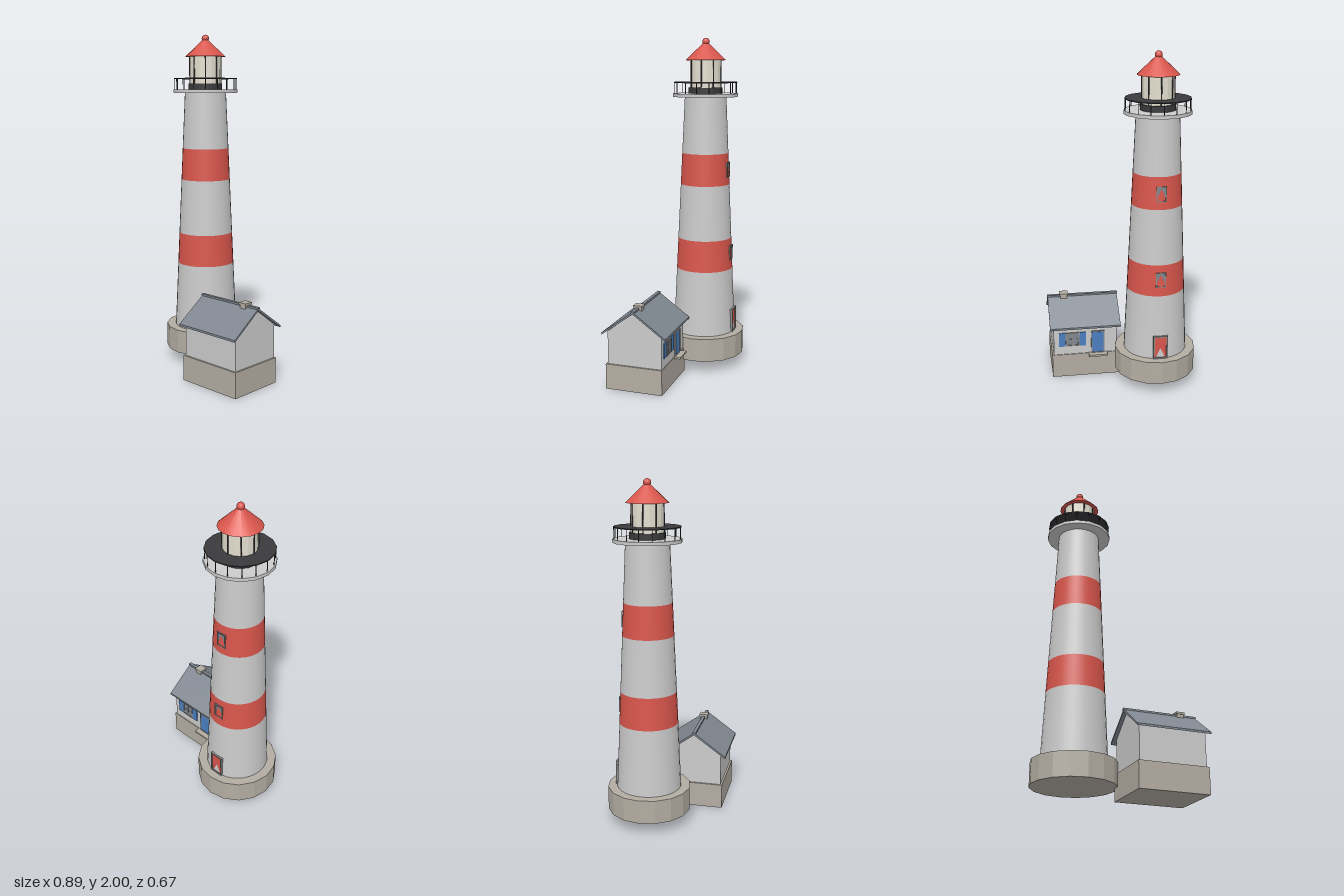
import * as THREE from 'three';

const mat = (color, opts = {}) => new THREE.MeshStandardMaterial({ color, ...opts });
const grey = mat(0xcccccc);
const stone = mat(0xb3aca2, { flatShading: true });
const red = mat(0xd9564c);
const dark = mat(0x3a3a3d);
const slate = mat(0x7f8790);
const blue = mat(0x4a7fc0);
const cream = mat(0xe2dece, { flatShading: true });
const frameGrey = mat(0x8a8a88);

function add(parent, name, geometry, material, x = 0, y = 0, z = 0) {
  const mesh = new THREE.Mesh(geometry, material);
  mesh.name = name;
  mesh.position.set(x, y, z);
  parent.add(mesh);
  return mesh;
}

const box = (parent, name, m, w, h, d, x, y, z) =>
  add(parent, name, new THREE.BoxGeometry(w, h, d), m, x, y, z);

// Upright cylinder given by its bottom and top heights
function drum(parent, name, m, y0, y1, r0, r1 = r0, sides = 16, open = false) {
  const g = new THREE.CylinderGeometry(r1, r0, y1 - y0, sides, 1, open);
  return add(parent, name, g, m, 0, (y0 + y1) / 2, 0);
}

// Four bars around an opening on a wall that faces -z
function frame(parent, name, m, w, h, t, d, x, y, z) {
  const g = new THREE.Group();
  g.name = name;
  g.position.set(x, y, z);
  for (const s of [-1, 1]) {
    box(g, 'jamb', m, t, h, d, s * (w - t) / 2, 0, 0);
    box(g, 'rail', m, w - 2 * t, t, d, 0, s * (h - t) / 2, 0);
  }
  parent.add(g);
}

// Prism along x from a closed outline of [z, y] points
function prism(points, length) {
  const shape = new THREE.Shape(points.map(([z, y]) => new THREE.Vector2(z, y)));
  const g = new THREE.ExtrudeGeometry(shape, { depth: length, bevelEnabled: false });
  return g.translate(0, 0, -length / 2).rotateY(Math.PI / 2);
}

const towerRadius = (y) => 0.19 - 0.065 * (y - 0.215) / 1.44;

function buildTower() {
  const tower = new THREE.Group();
  tower.name = 'tower';
  tower.position.set(-0.2, 0, -0.09);
  drum(tower, 'towerBase', stone, 0.075, 0.215, 0.245);

  // Tapering shaft in alternating colours
  const levels = [0.215, 0.61, 0.8, 1.13, 1.32, 1.655];
  for (let i = 0; i < 5; i++) {
    const [a, b] = [levels[i], levels[i + 1]];
    drum(tower, i % 2 ? 'redBand' : 'shaft', i % 2 ? red : grey, a, b, towerRadius(a), towerRadius(b), 32, true);
  }

  // Door and windows on the back
  box(tower, 'towerDoor', red, 0.07, 0.135, 0.03, 0, 0.283, -0.172);
  frame(tower, 'towerDoorFrame', frameGrey, 0.086, 0.145, 0.008, 0.035, 0, 0.2875, -0.176);
  for (const y of [0.71, 1.22]) {
    const r = towerRadius(y);
    box(tower, 'towerWindow', slate, 0.05, 0.08, 0.02, 0, y, -r + 0.0115);
    frame(tower, 'towerWindowFrame', frameGrey, 0.06, 0.09, 0.006, 0.025, 0, y, -r + 0.009);
  }

  // Gallery with posts and a broad dark rail plate
  drum(tower, 'galleryFloor', grey, 1.655, 1.675, 0.195);
  drum(tower, 'galleryRail', dark, 1.737, 1.743, 0.19);
  for (let i = 0; i < 16; i++) {
    const a = i * Math.PI / 8;
    const post = drum(tower, 'galleryPost', dark, 1.675, 1.74, 0.0025, 0.0025, 6);
    post.position.x = 0.186 * Math.sin(a);
    post.position.z = 0.186 * Math.cos(a);
  }

  // Lantern room
  drum(tower, 'lanternBase', dark, 1.675, 1.71, 0.102);
  drum(tower, 'lanternGlass', cream, 1.71, 1.87, 0.094);
  for (let i = 0; i < 8; i++) {
    const a = i * Math.PI / 4;
    const bar = drum(tower, 'lanternBar', dark, 1.71, 1.87, 0.004, 0.004, 6);
    bar.position.x = 0.094 * Math.sin(a);
    bar.position.z = 0.094 * Math.cos(a);
  }
  add(tower, 'lanternRoof', new THREE.ConeGeometry(0.122, 0.115, 16), red, 0, 1.9275, 0);
  add(tower, 'roofBall', new THREE.SphereGeometry(0.022, 16, 10), red, 0, 1.978, 0);
  return tower;
}

function buildHouse() {
  const house = new THREE.Group();
  house.name = 'house';
  house.position.set(0.222, 0, 0.139);
  box(house, 'houseFoundation', stone, 0.41, 0.15, 0.342, 0, 0.075, 0.003);

  // Walls with gables
  add(house, 'houseWalls', prism(
    [[-0.163, 0.15], [0.163, 0.15], [0.163, 0.346], [0, 0.468], [-0.163, 0.346]], 0.39), grey);

  // Pitched roof, ridge cap and chimney
  add(house, 'houseRoof', prism(
    [[-0.193, 0.328], [0, 0.466], [0.193, 0.328], [0.193, 0.34], [0, 0.479], [-0.193, 0.34]], 0.434), slate);
  box(house, 'roofRidge', slate, 0.44, 0.012, 0.02, 0, 0.477, 0);
  box(house, 'chimney', stone, 0.042, 0.06, 0.045, 0.118, 0.455, 0);
  box(house, 'chimneyCap', stone, 0.052, 0.012, 0.054, 0.118, 0.489, 0);

  // Door with step on the back
  const z = -0.163;
  box(house, 'houseDoor', blue, 0.07, 0.14, 0.01, -0.077, 0.22, z);
  frame(house, 'houseDoorFrame', frameGrey, 0.082, 0.148, 0.006, 0.014, -0.077, 0.224, z);
  box(house, 'doorStep', stone, 0.115, 0.012, 0.045, -0.077, 0.146, z - 0.018);

  // Shuttered window on the back
  const wx = 0.08, wy = 0.25;
  box(house, 'houseWindow', slate, 0.076, 0.08, 0.008, wx, wy, z);
  frame(house, 'houseWindowFrame', frameGrey, 0.084, 0.09, 0.007, 0.014, wx, wy, z);
  box(house, 'windowMullion', frameGrey, 0.005, 0.08, 0.012, wx, wy, z);
  box(house, 'windowTransom', frameGrey, 0.076, 0.005, 0.012, wx, wy, z);
  for (const s of [-1, 1]) box(house, 'shutter', blue, 0.04, 0.09, 0.012, wx + s * 0.063, wy, z);
  return house;
}

export function createModel() {
  const model = new THREE.Group();
  model.name = 'lighthouse';
  model.add(buildTower(), buildHouse());
  return model;
}
